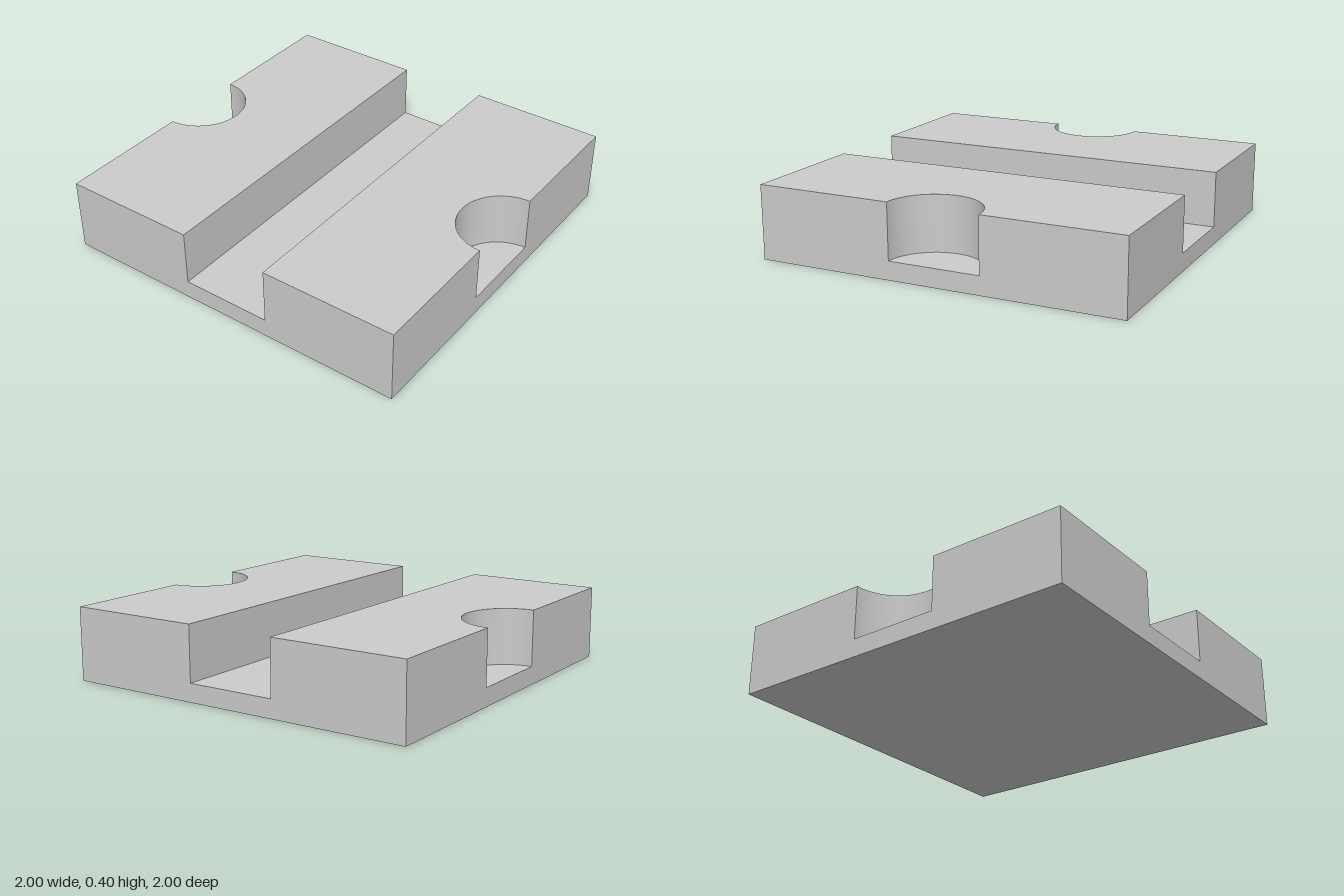
import * as THREE from 'three';
import { toCreasedNormals } from 'three/addons/utils/BufferGeometryUtils.js';

const BASE = 0.1, HEIGHT = 0.4, RADIUS = 0.25, GROOVE = 0.25;

export function createModel() {
  const group = new THREE.Group();
  const material = new THREE.MeshStandardMaterial({ color: 0xcccccc });

  // Thin floor shared by the groove and both notches
  const base = new THREE.Mesh(new THREE.BoxGeometry(2, BASE, 2), material);
  base.name = 'base';
  base.position.y = BASE / 2;
  group.add(base);

  // Raised block with a half-round notch in its outer edge
  const outline = new THREE.Shape();
  outline.moveTo(-1, -1);
  outline.lineTo(-RADIUS, -1);
  outline.absarc(0, -1, RADIUS, Math.PI, 0, true);
  outline.lineTo(1, -1);
  outline.lineTo(1, -GROOVE);
  outline.lineTo(-1, -GROOVE);
  outline.closePath();
  const extruded = new THREE.ExtrudeGeometry(outline, {
    depth: HEIGHT - BASE, bevelEnabled: false, curveSegments: 32,
  });
  extruded.rotateX(-Math.PI / 2);
  const blockGeometry = toCreasedNormals(extruded, 0.5);

  // The back block is the front one turned half a circle
  ['frontBlock', 'backBlock'].forEach((name, i) => {
    const block = new THREE.Mesh(blockGeometry, material);
    block.name = name;
    block.position.y = BASE;
    block.rotation.y = i * Math.PI;
    group.add(block);
  });

  return group;
}
